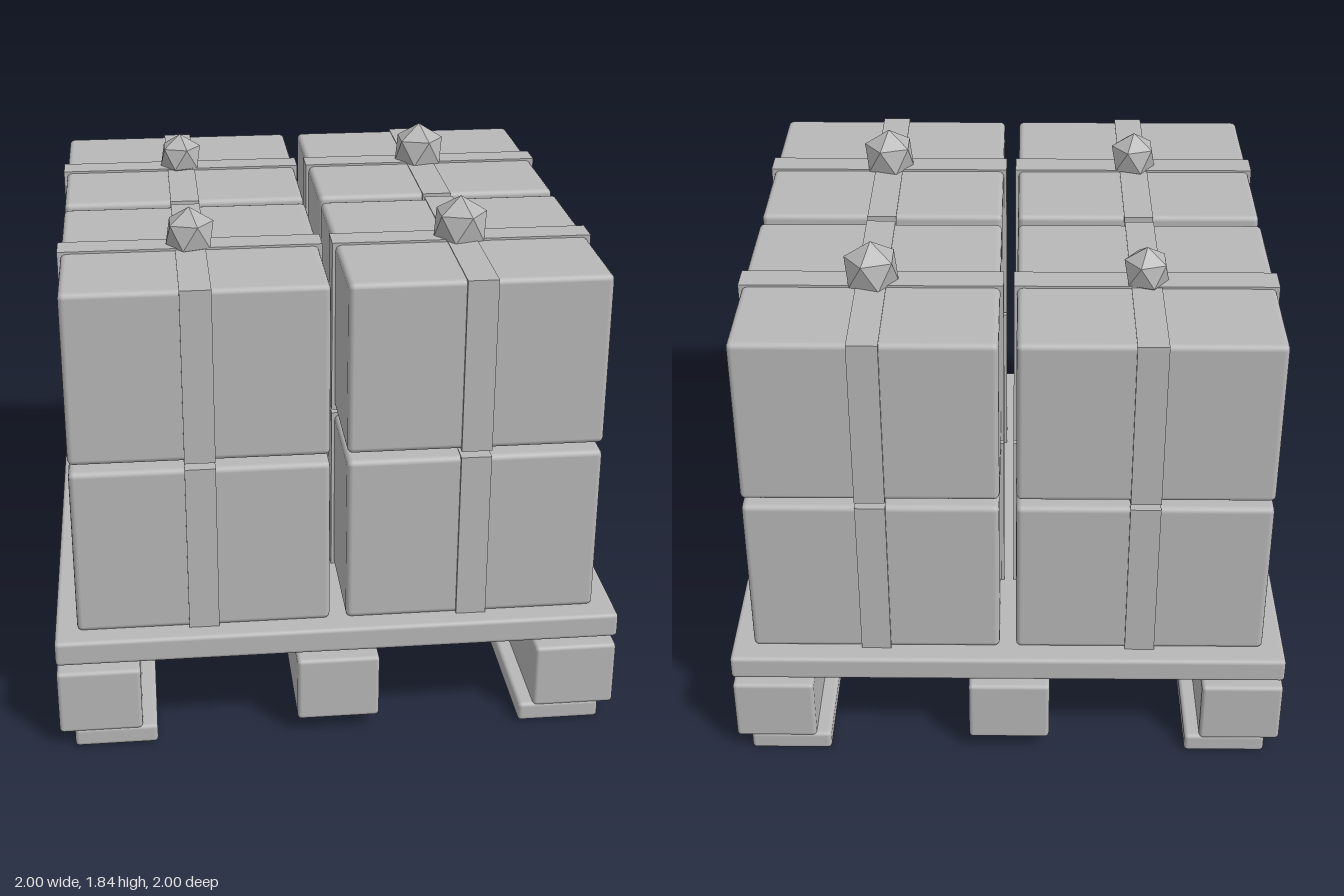
import * as THREE from 'three';
import { RoundedBoxGeometry } from 'three/addons/geometries/RoundedBoxGeometry.js';

const grey = new THREE.MeshStandardMaterial({ color: 0xb8b8b8 });
grey.name = 'plain grey';
// same colour, faceted for the knots
const facetGrey = grey;

function block(name, w, h, d, x, y, z, radius = 0.015) {
  const geometry = radius
    ? new RoundedBoxGeometry(w, h, d, 2, radius)
    : new THREE.BoxGeometry(w, h, d);
  const mesh = new THREE.Mesh(geometry, grey);
  mesh.name = name;
  mesh.position.set(x, y, z);
  return mesh;
}

function makeCrate(knotRadius) {
  const crate = new THREE.Group();
  crate.name = 'crate';
  crate.add(block('crateBody', 0.892, 0.618, 0.892, 0, 0, 0, 0.02));
  // crossed straps, each a loop around the crate
  crate.add(block('strapAcross', 0.915, 0.634, 0.106, 0, 0, 0, 0));
  crate.add(block('strapAlong', 0.106, 0.624, 0.915, 0, 0, 0, 0));
  // faceted knot with one corner pointing up
  const knotGeometry = new THREE.IcosahedronGeometry(knotRadius, 0);
  knotGeometry.rotateZ(-Math.atan(2 / (1 + Math.sqrt(5))));
  const knot = new THREE.Mesh(knotGeometry, facetGrey);
  knot.name = 'knot';
  knot.position.y = 0.355;
  crate.add(knot);
  return crate;
}

export function createModel() {
  const model = new THREE.Group();
  model.name = 'loadedPallet';

  // pallet deck, three runners and two bottom boards
  const pallet = new THREE.Group();
  pallet.name = 'pallet';
  pallet.add(block('deck', 2, 0.092, 2, 0, 0.382, 0));
  for (const x of [-0.853, -0.005, 0.853]) {
    pallet.add(block('runner', 0.294, 0.245, 2, x, 0.182, 0));
  }
  for (const x of [-0.8, 0.8]) {
    pallet.add(block('bottomBoard', 0.294, 0.072, 2, x, 0.036, 0));
  }
  model.add(pallet);

  // two layers of four strapped crates
  for (const y of [0.733, 1.38]) {
    for (const x of [-0.475, 0.475]) {
      for (const z of [-0.475, 0.475]) {
        const crate = makeCrate(x > 0 ? 0.105 : z > 0 ? 0.094 : 0.087);
        crate.position.set(x, y, z);
        model.add(crate);
      }
    }
  }
  return model;
}
